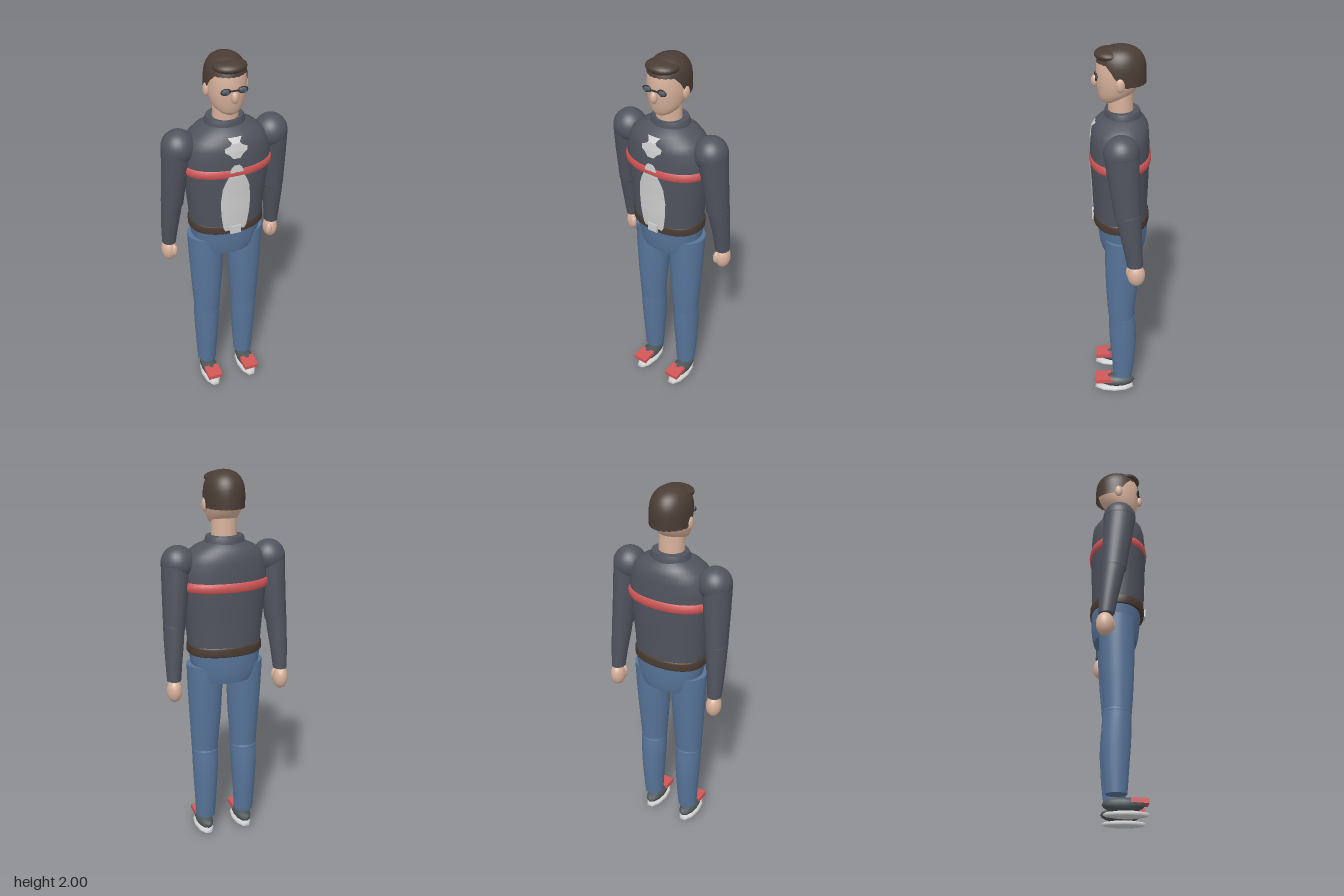
import * as THREE from 'three';

const mat = (name, color, side = THREE.FrontSide) => {
  const m = new THREE.MeshStandardMaterial({ color, side });
  m.name = name;
  return m;
};

// Torso cross-sections: [y, rx, rz, cx, cz]
const TORSO = [
  [1.09, 0.19, 0.136, 0, -0.004], [1.2, 0.198, 0.14, 0, 0], [1.3, 0.208, 0.143, 0, 0],
  [1.42, 0.222, 0.148, 0, 0.002], [1.5, 0.224, 0.147, 0, 0.001], [1.56, 0.212, 0.143, 0, 0],
  [1.6, 0.19, 0.137, 0, -0.002], [1.63, 0.155, 0.118, 0, -0.006], [1.655, 0.1, 0.085, 0, -0.012],
];
const POWER = 2.2;

// Skin over elliptical cross-sections, with flat caps at both ends
function loft(rows, n = 32, power = 2, caps = true) {
  const pos = [], idx = [];
  const ring = ([y, rx, rz, cx = 0, cz = 0]) => {
    const start = pos.length / 3;
    for (let i = 0; i < n; i++) {
      const a = (i / n) * Math.PI * 2, s = Math.sin(a), c = Math.cos(a);
      pos.push(cx + rx * Math.sign(s) * Math.abs(s) ** (2 / power), y,
        cz + rz * Math.sign(c) * Math.abs(c) ** (2 / power));
    }
    return start;
  };
  const rings = rows.map(ring);
  for (let j = 0; j < rows.length - 1; j++) for (let i = 0; i < n; i++) {
    const k = (i + 1) % n, a = rings[j], b = rings[j + 1];
    idx.push(a + i, a + k, b + k, a + i, b + k, b + i);
  }
  if (caps) [rows[0], rows[rows.length - 1]].forEach((row, top) => {
    const r = ring(row), c = pos.length / 3;
    pos.push(row[3] || 0, row[0], row[4] || 0);
    for (let i = 0; i < n; i++) {
      const k = (i + 1) % n;
      idx.push(c, top ? r + i : r + k, top ? r + k : r + i);
    }
  });
  return build(pos, idx);
}

function build(pos, idx) {
  const g = new THREE.BufferGeometry();
  g.setAttribute('position', new THREE.Float32BufferAttribute(pos, 3));
  g.setIndex(idx);
  g.computeVertexNormals();
  return g;
}

// Front surface of the torso at x, y
function torsoZ(x, y) {
  let j = 0;
  while (j < TORSO.length - 2 && TORSO[j + 1][0] < y) j++;
  const p = TORSO[j], q = TORSO[j + 1], t = (y - p[0]) / (q[0] - p[0]);
  const [rx, rz, cz] = [1, 2, 4].map(k => p[k] + (q[k] - p[k]) * t);
  return cz + rz * (1 - Math.abs(x / rx) ** POWER) ** (1 / POWER);
}

// Thin patch hugging the chest, from [y, half width] pairs
function chestPatch(outline) {
  const pos = [], idx = [], cols = 10, steps = 5;
  let rows = 0;
  outline.forEach(([y, w], j) => {
    const [y2, w2] = outline[j + 1] || [y, w];
    for (let s = 0; s < (j < outline.length - 1 ? steps : 1); s++, rows++) {
      const yy = y + (y2 - y) * s / steps, ww = w + (w2 - w) * s / steps;
      for (let i = 0; i <= cols; i++) {
        const x = ww * (2 * i / cols - 1);
        pos.push(x, yy, torsoZ(x, yy) + 0.005);
      }
    }
  });
  for (let j = 0; j < rows - 1; j++) for (let i = 0; i < cols; i++) {
    const a = j * (cols + 1) + i, b = a + cols + 1;
    idx.push(a, a + 1, b + 1, a, b + 1, b);
  }
  return build(pos, idx);
}

// Hair cap: boxy dome whose lower edge is high at the forehead and low behind
function hairCap() {
  const n = 48, m = 12, pos = [], idx = [];
  for (let j = 0; j <= m; j++) for (let i = 0; i < n; i++) {
    const a = (i / n) * Math.PI * 2, off = Math.min(a, Math.PI * 2 - a);
    const low = 1.922 - 0.102 * THREE.MathUtils.smoothstep(off, 0.85, 1.75) + 0.003 * (i % 2);
    const y0 = (low - 1.87) / 0.13;
    const e = Math.max(y0, 0), v = e + (1 - e) * Math.sin((j / m) * Math.PI / 2);
    const r = (1 - v ** 2.6) ** (1 / 2.4);
    const y = y0 < 0 ? low + (2 - low) * Math.sin((j / m) * Math.PI / 2) : 1.87 + 0.13 * v;
    const rr = y0 < 0 ? (1 - Math.max(0, (y - 1.87) / 0.13) ** 2.6) ** (1 / 2.4) : r;
    pos.push(0.102 * rr * Math.sin(a), y, -0.004 + 0.122 * rr * Math.cos(a));
  }
  for (let j = 0; j < m; j++) for (let i = 0; i < n; i++) {
    const k = (i + 1) % n, a = j * n, b = a + n;
    idx.push(a + i, a + k, b + k, a + i, b + k, b + i);
  }
  return build(pos, idx);
}

export function createModel() {
  const model = new THREE.Group();
  const jacket = mat('jacket grey', 0x50545e), denim = mat('denim blue', 0x58759a);
  const skin = mat('skin', 0xd6b09a), hair = mat('dark hair', 0x4a3d35, THREE.DoubleSide);
  const leather = mat('belt brown', 0x4a3c32), red = mat('red', 0xd15757);
  const white = mat('shirt white', 0xcfcfcf, THREE.DoubleSide);
  const shoeGrey = mat('shoe grey', 0x4c5557), lens = mat('lens blue grey', 0x59626f);
  const frame = mat('frame dark', 0x2e3138);

  const add = (name, geo, material, x = 0, y = 0, z = 0) => {
    const mesh = new THREE.Mesh(geo, material);
    mesh.name = name;
    mesh.position.set(x, y, z);
    model.add(mesh);
    return mesh;
  };
  const ball = (name, material, p, r, w = 28, h = 18) => {
    const mesh = add(name, new THREE.SphereGeometry(1, w, h), material, ...p);
    mesh.scale.set(...r);
    return mesh;
  };

  // Jacket, shirt opening, chest stripe and collar
  add('torso', loft(TORSO, 40, POWER), jacket);
  add('lowerShirt', chestPatch([[1.09, 0.045], [1.12, 0.062], [1.2, 0.074], [1.28, 0.078],
    [1.36, 0.07], [1.4, 0.056], [1.43, 0.04]]), white);
  add('middleShirt', chestPatch([[1.45, 0.035], [1.475, 0.028], [1.49, 0.014]]), white);
  add('upperShirt', chestPatch([[1.525, 0.018], [1.545, 0.034], [1.56, 0.056], [1.58, 0.058],
    [1.592, 0.03], [1.605, 0.02], [1.625, 0.036]]), white);
  add('chestStripe', loft([[1.418, 0.222, 0.147], [1.424, 0.232, 0.153], [1.442, 0.235, 0.156],
    [1.46, 0.232, 0.153], [1.466, 0.222, 0.147]], 40, POWER), red);
  add('collar', loft([[1.64, 0.103, 0.09, 0, -0.014], [1.665, 0.102, 0.088, 0, -0.014],
    [1.685, 0.094, 0.082, 0, -0.014]]), jacket);

  // Belt and pelvis
  add('belt', loft([[1.08, 0.193, 0.138, 0, -0.005], [1.087, 0.198, 0.143, 0, -0.005],
    [1.122, 0.198, 0.143, 0, -0.005], [1.13, 0.193, 0.138, 0, -0.005]], 40, POWER), leather);
  add('buckle', new THREE.BoxGeometry(0.056, 0.044, 0.009), white, 0, 1.106, 0.141);
  add('pelvis', loft([[0.93, 0.15, 0.112, 0, -0.014], [0.96, 0.165, 0.12, 0, -0.014],
    [1.02, 0.18, 0.127, 0, -0.014], [1.09, 0.19, 0.13, 0, -0.012]], 36, POWER), denim);

  // Head
  add('neck', loft([[1.65, 0.066, 0.062, 0, -0.004], [1.8, 0.062, 0.06]]), skin);
  add('head', loft([[1.722, 0.025, 0.03, 0, 0.05], [1.732, 0.046, 0.048, 0, 0.044],
    [1.75, 0.066, 0.068, 0, 0.034], [1.78, 0.083, 0.09, 0, 0.018], [1.82, 0.092, 0.106, 0, 0.008],
    [1.86, 0.096, 0.114, 0, 0.002], [1.92, 0.095, 0.112], [1.955, 0.082, 0.097], [1.98, 0.05, 0.06]]), skin);
  add('hair', hairCap(), hair);
  ball('fringe', hair, [0, 1.958, 0.052], [0.082, 0.031, 0.07]);
  ball('nose', skin, [0, 1.828, 0.12], [0.018, 0.03, 0.018]);
  add('glassesBridge', new THREE.BoxGeometry(0.036, 0.006, 0.006), frame, 0, 1.862, 0.12);

  for (const s of [-1, 1]) {
    // Ears and glasses
    ball('ear', skin, [s * 0.098, 1.835, 0], [0.014, 0.034, 0.022]);
    ball('lens', lens, [s * 0.042, 1.859, 0.111], [0.022, 0.013, 0.007]);
    const rim = add('glassesRim', new THREE.TorusGeometry(0.022, 0.004, 8, 24), frame, s * 0.042, 1.859, 0.113);
    rim.scale.y = 0.65;

    // Arms
    ball('shoulder', jacket, [s * 0.241, 1.558, -0.004], [0.085, 0.087, 0.086]);
    add('upperArm', loft([[1.225, 0.055, 0.063, s * 0.275, -0.034], [1.32, 0.06, 0.069, s * 0.269, -0.026],
      [1.43, 0.067, 0.077, s * 0.26, -0.014], [1.55, 0.073, 0.082, s * 0.252, -0.004]], 28), jacket);
    ball('elbow', jacket, [s * 0.276, 1.24, -0.035], [0.056, 0.05, 0.062]);
    add('forearm', loft([[0.965, 0.036, 0.04, s * 0.292, -0.071], [1.06, 0.043, 0.047, s * 0.288, -0.06],
      [1.17, 0.051, 0.057, s * 0.281, -0.045], [1.25, 0.054, 0.062, s * 0.277, -0.035]], 28), jacket);
    ball('hand', skin, [s * 0.293, 0.91, -0.078], [0.039, 0.062, 0.045]);
    ball('thumb', skin, [s * 0.272, 0.914, -0.046], [0.018, 0.035, 0.02]);

    // Legs
    add('thigh', loft([[0.515, 0.071, 0.068, s * 0.11, -0.006], [0.56, 0.073, 0.072, s * 0.11, -0.005],
      [0.72, 0.084, 0.084, s * 0.108, -0.008], [0.88, 0.092, 0.091, s * 0.108, -0.011],
      [1.02, 0.096, 0.093, s * 0.109, -0.013]], 32), denim);
    ball('knee', denim, [s * 0.11, 0.515, -0.008], [0.072, 0.045, 0.071]);
    add('shin', loft([[0.112, 0.052, 0.053, s * 0.112, -0.014], [0.22, 0.058, 0.063, s * 0.112, -0.016],
      [0.36, 0.066, 0.073, s * 0.111, -0.015], [0.46, 0.071, 0.073, s * 0.11, -0.011],
      [0.515, 0.071, 0.07, s * 0.11, -0.008]], 32), denim);

    // Shoes
    ball('sole', white, [s * 0.112, 0.018, 0.034], [0.05, 0.018, 0.115], 10, 6);
    ball('shoe', shoeGrey, [s * 0.112, 0.063, 0.02], [0.046, 0.036, 0.102], 12, 8);
    const toe = add('toeCap', new THREE.BoxGeometry(0.082, 0.024, 0.085), red, s * 0.112, 0.079, 0.096);
    toe.rotation.x = 0.06;
  }
  return model;
}
